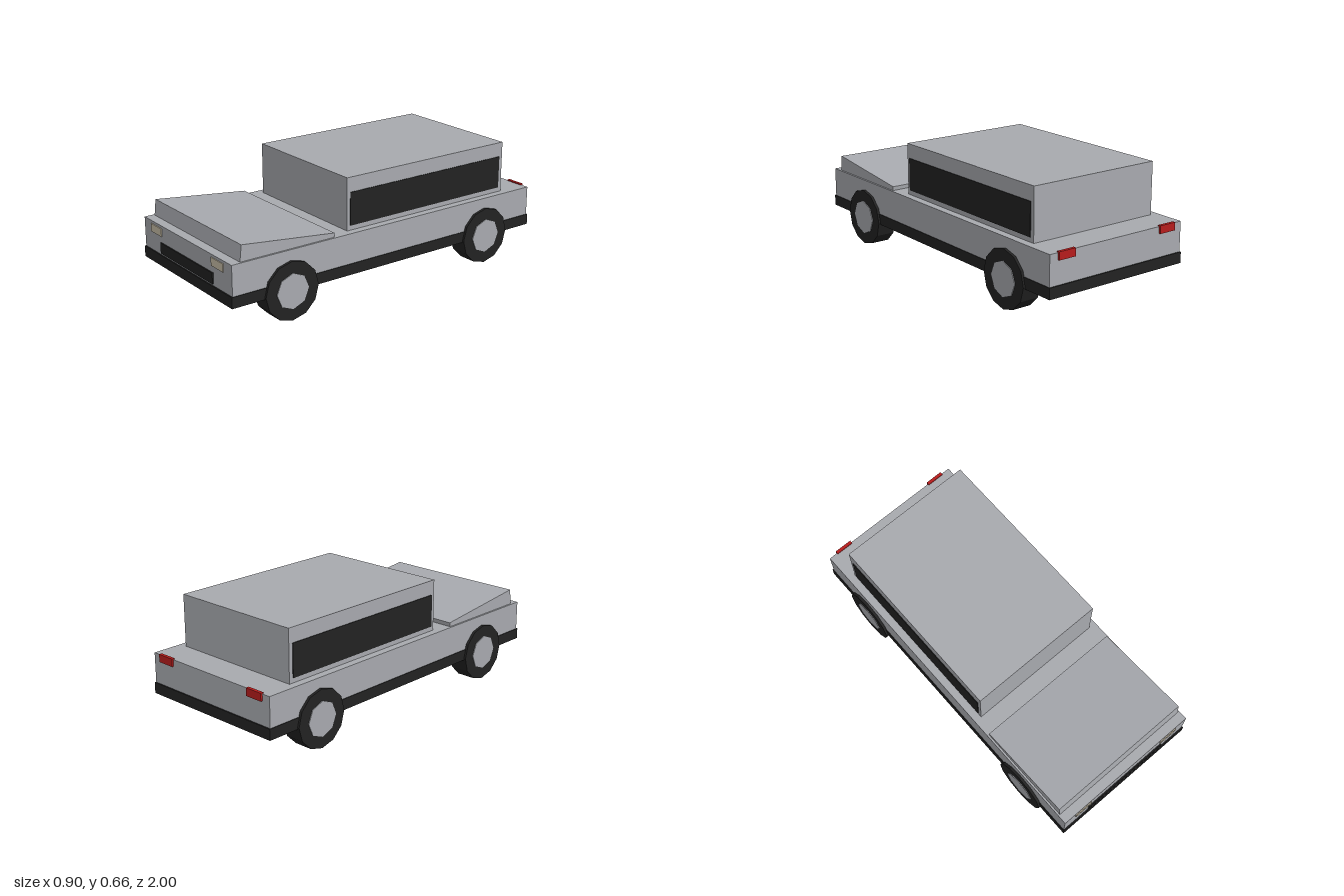
import * as THREE from 'three';

const flat = (name, color) => {
  const m = new THREE.MeshStandardMaterial({ color });
  m.name = name;
  return m;
};

export function createModel() {
  const paint = flat('silver paint', 0xa8aaaf);
  const black = flat('black trim', 0x222222);
  const cream = flat('lamp cream', 0xccc2ab);
  const red = flat('lamp red', 0xb71c1c);

  const car = new THREE.Group();
  car.name = 'car';

  // Box given by its minimum and maximum corners
  const box = (name, material, [x0, y0, z0], [x1, y1, z1]) => {
    const mesh = new THREE.Mesh(new THREE.BoxGeometry(x1 - x0, y1 - y0, z1 - z0), material);
    mesh.name = name;
    mesh.position.set((x0 + x1) / 2, (y0 + y1) / 2, (z0 + z1) / 2);
    car.add(mesh);
    return mesh;
  };

  // Body, sill and cabin
  box('sill', black, [-0.437, 0.15, -0.997], [0.437, 0.21, 0.997]);
  box('body', paint, [-0.433, 0.21, -0.99], [0.433, 0.374, 0.99]);
  box('cabin', paint, [-0.39, 0.374, -0.818], [0.39, 0.66, 0.268]);

  // Bonnet, raised towards the front
  const bonnet = new THREE.Mesh(new THREE.BoxGeometry(0.845, 0.1, 0.558), paint);
  bonnet.name = 'bonnet';
  bonnet.geometry.translate(0, -0.05, 0);
  bonnet.position.set(0, 0.429, 0.649);
  bonnet.rotation.x = -0.115;
  car.add(bonnet);

  // Grille
  box('grille', black, [-0.26, 0.22, 0.988], [0.26, 0.28, 0.997]);

  for (const s of [-1, 1]) {
    const side = s > 0 ? 'left' : 'right';
    const pair = (name, material, x0, x1, y0, y1, z0, z1) =>
      box(side + name, material, [Math.min(s * x0, s * x1), y0, z0], [Math.max(s * x0, s * x1), y1, z1]);

    pair('Window', black, 0.386, 0.394, 0.4, 0.58, -0.795, 0.248);
    pair('Headlight', cream, 0.248, 0.358, 0.315, 0.359, 0.987, 0.995);
    pair('TailLight', red, 0.28, 0.383, 0.337, 0.38, -1, -0.982);

    // Wheels: faceted tyre with a hub showing on both faces
    for (const [end, z] of [['Front', 0.65], ['Rear', -0.655]]) {
      const wheel = new THREE.Group();
      wheel.name = side + end + 'Wheel';
      wheel.position.set(s * 0.394, 0.159, z);
      for (const [name, r, width, sides, material] of [
        ['tyre', 0.159, 0.108, 12, black],
        ['hub', 0.096, 0.116, 8, paint],
      ]) {
        const geometry = new THREE.CylinderGeometry(r, r, width, sides).rotateZ(Math.PI / 2);
        const mesh = new THREE.Mesh(geometry.toNonIndexed(), material);
        mesh.geometry.computeVertexNormals();
        mesh.name = name;
        wheel.add(mesh);
      }
      car.add(wheel);
    }
  }
  return car;
}
